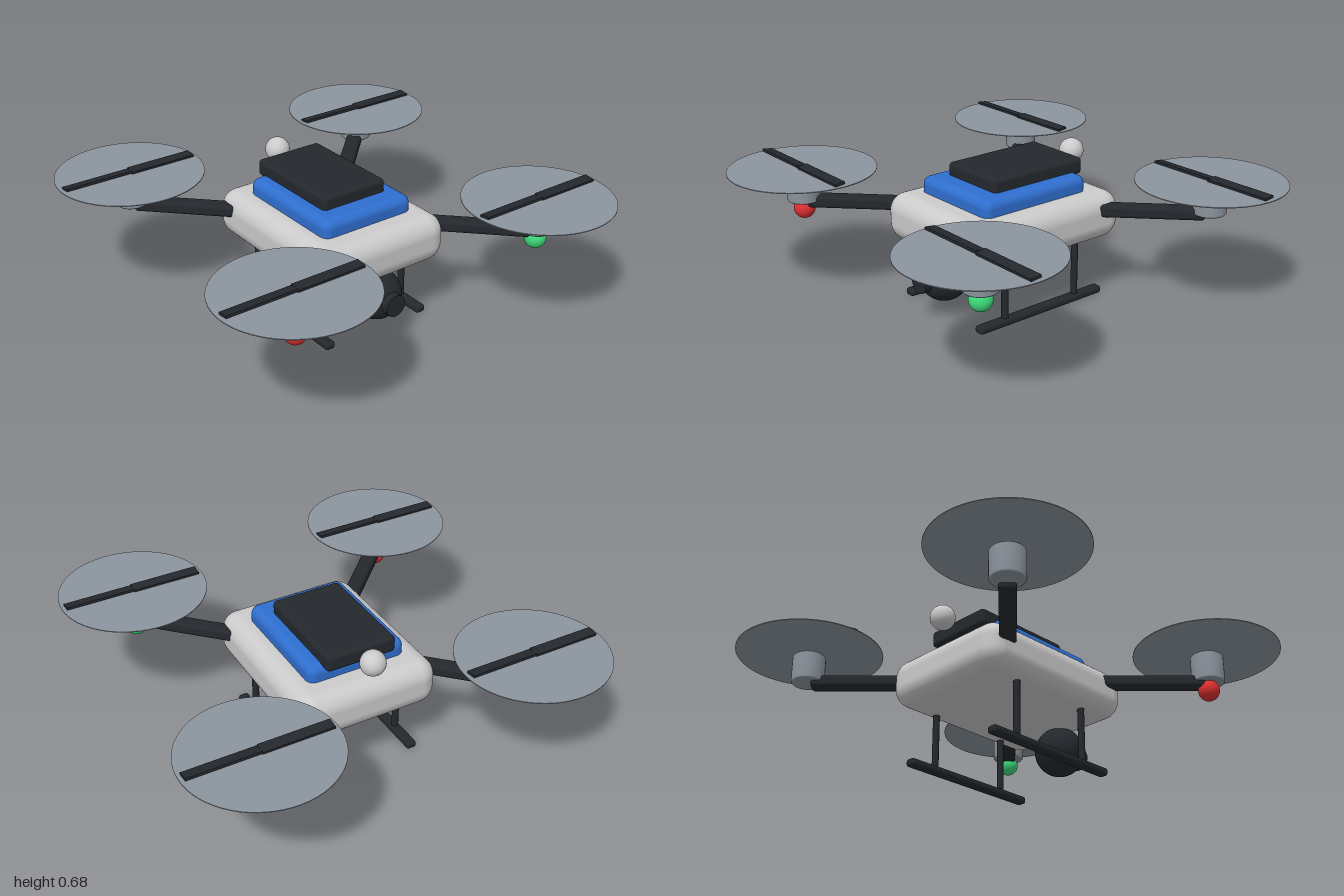
import * as THREE from 'three';
import { RoundedBoxGeometry } from 'three/addons/geometries/RoundedBoxGeometry.js';

const mat = (color) => new THREE.MeshStandardMaterial({ color });

export function createModel() {
  const model = new THREE.Group();
  model.name = 'quadcopter';
  const shell = mat(0xcccccc), blue = mat(0x2f6fd0), dark = mat(0x24282d);
  const metal = mat(0x8c959e), red = mat(0xe03030), green = mat(0x3ddc7a);

  const add = (parent, name, geometry, material, x, y, z) => {
    const mesh = new THREE.Mesh(geometry, material);
    mesh.name = name;
    mesh.position.set(x, y, z);
    parent.add(mesh);
    return mesh;
  };
  const box = (w, h, d, r) => new RoundedBoxGeometry(w, h, d, 5, r);
  const ball = (r) => new THREE.SphereGeometry(r, 32, 20);

  // Hull, top cover, battery and antenna ball
  add(model, 'body', box(0.685, 0.225, 0.86, 0.085), shell, 0, 0.4025, 0);
  add(model, 'topCover', box(0.48, 0.11, 0.585, 0.04), blue, 0, 0.535, 0);
  add(model, 'battery', box(0.34, 0.08, 0.515, 0.02), dark, 0, 0.61, -0.07);
  add(model, 'antennaBall', ball(0.058), shell, 0, 0.625, -0.413);

  // Camera under the nose
  add(model, 'cameraBall', ball(0.117), dark, 0, 0.195, 0.345);
  add(model, 'cameraLens', new THREE.CylinderGeometry(0.052, 0.052, 0.1, 32), dark, 0, 0.195, 0.435)
    .rotation.x = Math.PI / 2;

  // Landing gear
  for (const side of [-1, 1]) {
    const gear = new THREE.Group();
    gear.name = side > 0 ? 'leftLandingGear' : 'rightLandingGear';
    model.add(gear);
    add(gear, 'skid', box(0.05, 0.036, 0.72, 0.014), dark, side * 0.26, 0.02, 0);
    for (const z of [0.208, -0.206]) {
      add(gear, 'leg', new THREE.CylinderGeometry(0.016, 0.016, 0.3, 12), dark, side * 0.26, 0.17, z);
    }
  }

  // Four arms, each with motor, two pitched blades and rotor disc
  const hub = 0.657, inner = 0.25, outer = 0.645;
  const mid = (inner + outer) / 2, length = (outer - inner) * Math.SQRT2;
  const motorProfile = [[0, 0], [0.071, 0], [0.077, 0.006], [0.077, 0.13], [0.071, 0.136], [0, 0.136]]
    .map(([x, y]) => new THREE.Vector2(x, y));
  for (const sx of [-1, 1]) for (const sz of [-1, 1]) {
    const rotor = new THREE.Group();
    rotor.name = (sz > 0 ? 'front' : 'rear') + (sx > 0 ? 'Left' : 'Right') + 'Rotor';
    model.add(rotor);
    add(rotor, 'arm', box(0.075, 0.058, length, 0.018), dark, sx * mid, 0.44, sz * mid)
      .rotation.y = sx * sz * Math.PI / 4;
    const motor = new THREE.LatheGeometry(motorProfile, 32);
    add(rotor, 'motor', motor, metal, sx * hub, 0.44, sz * hub);
    add(rotor, 'rotorDisc', new THREE.CylinderGeometry(0.343, 0.343, 0.004, 64), metal, sx * hub, 0.592, sz * hub);
    for (const s of [-1, 1]) {
      add(rotor, 'blade', new THREE.BoxGeometry(0.325, 0.011, 0.05), dark, sx * hub + s * 0.1625, 0.602, sz * hub)
        .rotation.x = s * 0.12;
    }
    // Navigation light under the front motors only
    if (sz > 0) add(rotor, 'navigationLight', ball(0.05), sx > 0 ? green : red, sx * hub, 0.402, sz * hub);
  }
  // Rest the skids on the ground
  for (const part of model.children) part.position.y -= 0.002;
  return model;
}
